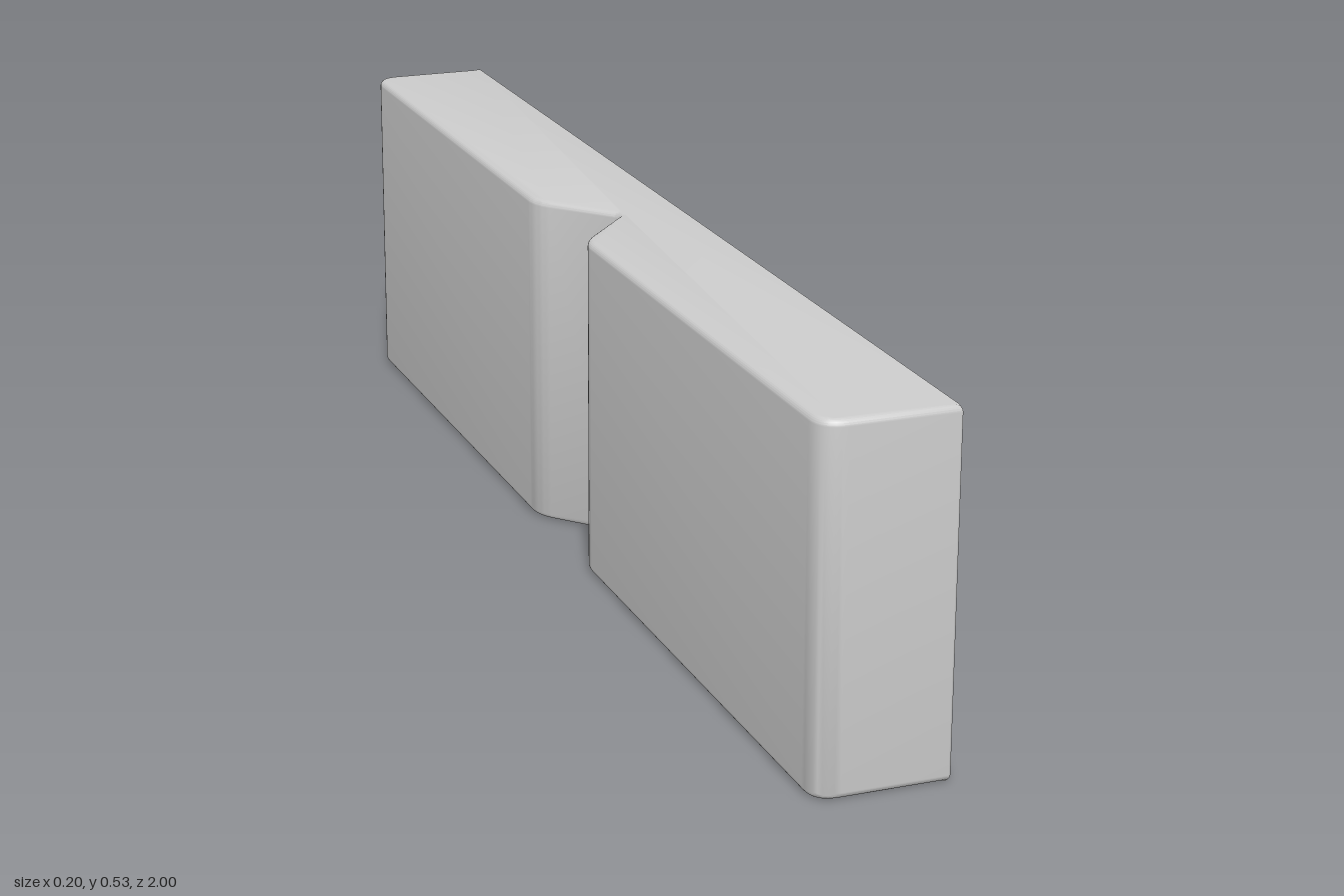
import * as THREE from 'three';
import { toCreasedNormals } from 'three/addons/utils/BufferGeometryUtils.js';

const HEIGHT = 0.53, BEVEL = 0.01;

// Plan outline: flat on +x, soft outer corners and a V notch on -x
function planOutline() {
  const s = new THREE.Shape();
  s.moveTo(0.1, -0.996);
  s.quadraticCurveTo(0.1, -1, 0.096, -1);
  s.lineTo(0.096, -1);
  s.lineTo(-0.06, -1);
  s.quadraticCurveTo(-0.1, -1, -0.1, -0.96);
  s.lineTo(-0.1, -0.145);
  s.quadraticCurveTo(-0.1, -0.118, -0.082, -0.097);
  s.lineTo(-0.006, -0.01);
  s.quadraticCurveTo(0.002, 0, -0.006, 0.01);
  s.lineTo(-0.082, 0.097);
  s.quadraticCurveTo(-0.1, 0.118, -0.1, 0.145);
  s.lineTo(-0.1, 0.96);
  s.quadraticCurveTo(-0.1, 1, -0.06, 1);
  s.lineTo(0.096, 1);
  s.quadraticCurveTo(0.1, 1, 0.1, 0.996);
  s.closePath();
  return s;
}

export function createModel() {
  const group = new THREE.Group();
  group.name = 'notchedBlock';

  // Upright slab with softened top and bottom edges
  const geometry = new THREE.ExtrudeGeometry(planOutline(), {
    depth: HEIGHT - 2 * BEVEL,
    bevelEnabled: true,
    bevelThickness: BEVEL,
    bevelSize: BEVEL,
    bevelOffset: -BEVEL,
    bevelSegments: 6,
    curveSegments: 8,
  });
  geometry.translate(0, 0, BEVEL);
  geometry.rotateX(-Math.PI / 2);

  const slab = new THREE.Mesh(
    toCreasedNormals(geometry, 0.5),
    new THREE.MeshStandardMaterial({ color: 0xcccccc })
  );
  slab.name = 'notchedSlab';
  group.add(slab);
  return group;
}
